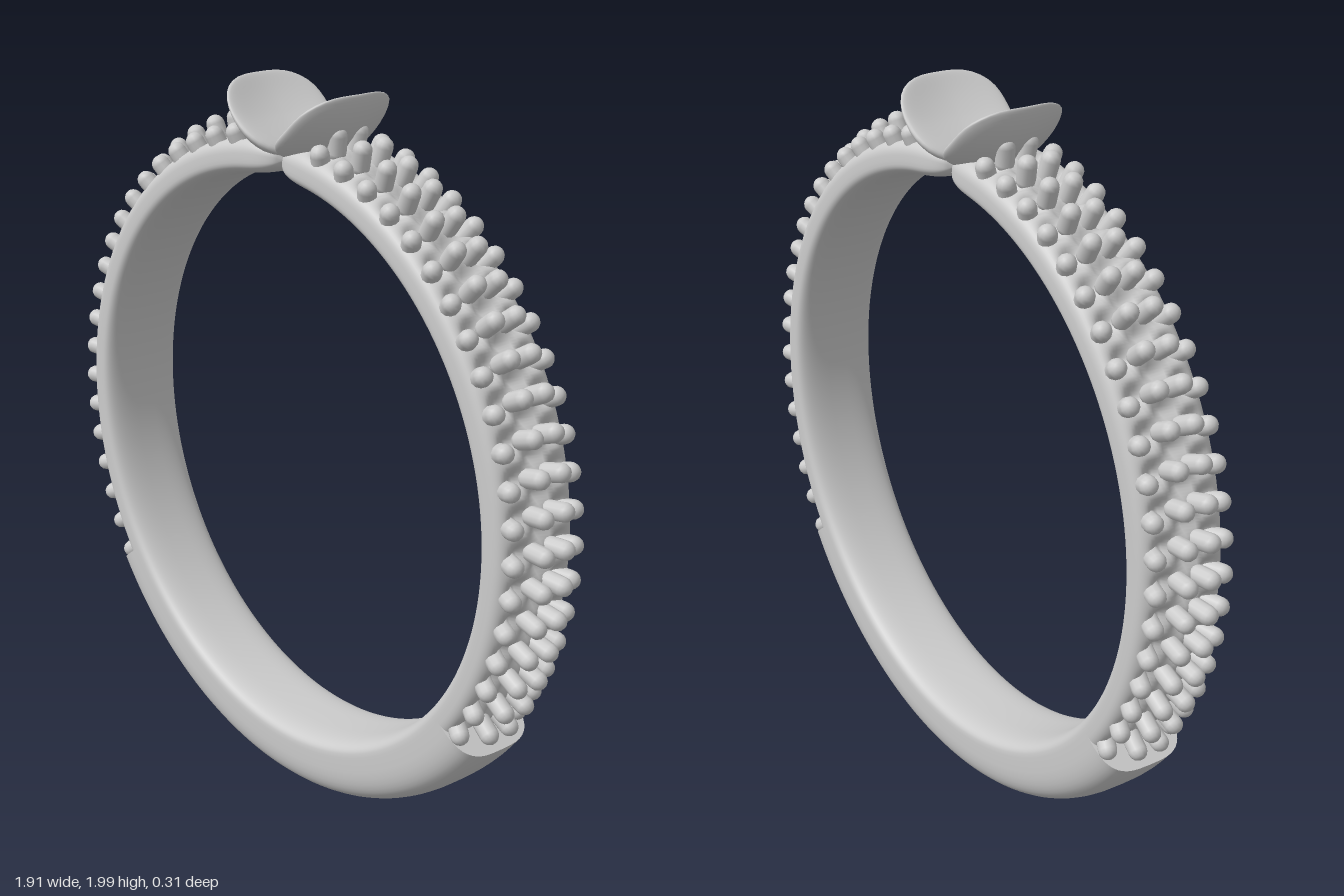
import * as THREE from 'three';
import { mergeVertices } from 'three/addons/utils/BufferGeometryUtils.js';

const CY = 0.97;              // height of the ring centre
const MID = 0.83;             // radius where the section is widest
const rad = THREE.MathUtils.degToRad;
const STEP = rad(6), FIRST = rad(-34), ROWS = 20;
const pow = (v, e) => Math.sign(v) * Math.abs(v) ** e;

// Sweeps a closed section around the ring; section(phi, t) returns [radius, z]
function sweep(section, from, to, nPhi, nSec) {
  const pos = [], idx = [];
  for (let j = 0; j <= nPhi; j++) {
    const phi = from + (to - from) * j / nPhi;
    for (let i = 0; i < nSec; i++) {
      const [r, z] = section(phi, i / nSec * Math.PI * 2);
      pos.push(r * Math.cos(phi), CY + r * Math.sin(phi), z);
    }
  }
  for (let j = 0; j < nPhi; j++) {
    for (let i = 0; i < nSec; i++) {
      const a = j * nSec + i, b = j * nSec + (i + 1) % nSec;
      idx.push(a, b, a + nSec, b, b + nSec, a + nSec);
    }
  }
  // flat end caps with their own vertices
  for (const end of [0, nPhi]) {
    const base = pos.length / 3;
    for (let i = 0; i < nSec; i++) pos.push(...pos.slice((end * nSec + i) * 3, (end * nSec + i) * 3 + 3));
    for (let i = 1; i < nSec - 1; i++) {
      if (end) idx.push(base, base + i, base + i + 1);
      else idx.push(base, base + i + 1, base + i);
    }
  }
  const g = new THREE.BufferGeometry();
  g.setAttribute('position', new THREE.Float32BufferAttribute(pos, 3));
  g.setIndex(idx);
  g.computeVertexNormals();
  return g;
}

// Rounded D-shaped section: tall outside, shallow inside
function dSection(t, outerHeight) {
  const s = Math.sin(t);
  return [
    MID + (s > 0 ? outerHeight * pow(s, 0.6) : 0.045 * pow(s, 0.65)),
    0.127 * pow(Math.cos(t), 0.6),
  ];
}

// Upper band: beaded bed with hollow seats, tapering to a rounded tip
function bandSection(phi, t) {
  let [r, z] = dSection(t, 0.062);
  if (Math.sin(t) > 0 && phi < rad(82)) {
    const along = Math.cos((phi - FIRST) / STEP * Math.PI * 2);
    const middle = Math.exp(-((z / 0.03) ** 2)) * (0.5 - 0.5 * along);
    const sides = Math.exp(-(((Math.abs(z) - 0.066) / 0.025) ** 2)) * (0.5 + 0.5 * along);
    r -= 0.032 * (middle + sides);
  }
  const k = THREE.MathUtils.clamp((phi - rad(80)) / rad(9.6), 0, 1);
  const f = Math.sqrt(1 - k ** 3);
  return [MID + (r - MID) * f, z * (0.55 + 0.45 * f)];
}

// Spoon-shaped petal made from a flattened, dished sphere
function petalGeometry() {
  let g = new THREE.SphereGeometry(1, 40, 28);
  g.deleteAttribute('uv');
  g.deleteAttribute('normal');
  g = mergeVertices(g, 1e-4);
  const p = g.attributes.position, ang = rad(42);
  const c = Math.cos(ang), s = Math.sin(ang);
  for (let i = 0; i < p.count; i++) {
    let a = p.getX(i), h = p.getY(i), b = p.getZ(i);
    const sum = Math.abs(a) ** 2.5 + Math.abs(b) ** 2.5;
    const f = sum > 1e-8 ? Math.hypot(a, b) / sum ** 0.4 : 1;
    a *= f;
    b *= f;
    const u = 0.138 * a;
    const n = h * (0.032 - 0.012 * a) + 0.035 * Math.min(a * a + b * b, 1.1) - 0.025;
    p.setXYZ(i, Math.max(0.004, 0.108 + u * c - n * s), 1.892 + u * s + n * c, 0.156 * b);
  }
  g.computeVertexNormals();
  return g;
}

export function createModel() {
  const model = new THREE.Group();
  const material = new THREE.MeshStandardMaterial({ color: 0xcccccc });
  const add = (parent, name, geometry) => {
    const m = new THREE.Mesh(geometry, material);
    m.name = name;
    parent.add(m);
    return m;
  };

  // Plain lower shank
  add(model, 'shank', sweep((phi, t) => dSection(t, 0.14), rad(-144), rad(-36), 72, 48));

  const bandGeo = sweep(bandSection, rad(-40), rad(89.6), 260, 64);
  const petalGeo = petalGeometry();
  const prongGeo = new THREE.CapsuleGeometry(0.025, 0.045, 4, 12);
  const up = new THREE.Vector3(0, 1, 0);

  // Both halves are the same, turned about the vertical axis
  for (const side of ['left', 'right']) {
    const half = new THREE.Group();
    half.name = side + 'Half';
    half.rotation.y = side === 'left' ? 0 : Math.PI;
    add(half, 'band', bandGeo);
    add(half, 'petal', petalGeo);

    // Bead prongs, four to a row, the outer ones leaning sideways
    const prongs = new THREE.Group();
    prongs.name = 'prongs';
    for (let row = 0; row < ROWS; row++) {
      for (const [z, r, lean, shift] of [[0.033, 0.91, 0.1, 0], [0.095, 0.876, 0.35, 0.18]]) {
        for (const sign of [-1, 1]) {
          const phi = FIRST + (row - shift) * STEP;
          const m = add(prongs, 'prong', prongGeo);
          m.position.set(r * Math.cos(phi), CY + r * Math.sin(phi), sign * z);
          const dir = new THREE.Vector3(Math.cos(phi), Math.sin(phi), sign * lean).normalize();
          m.quaternion.setFromUnitVectors(up, dir);
        }
      }
    }
    half.add(prongs);
    model.add(half);
  }
  return model;
}
